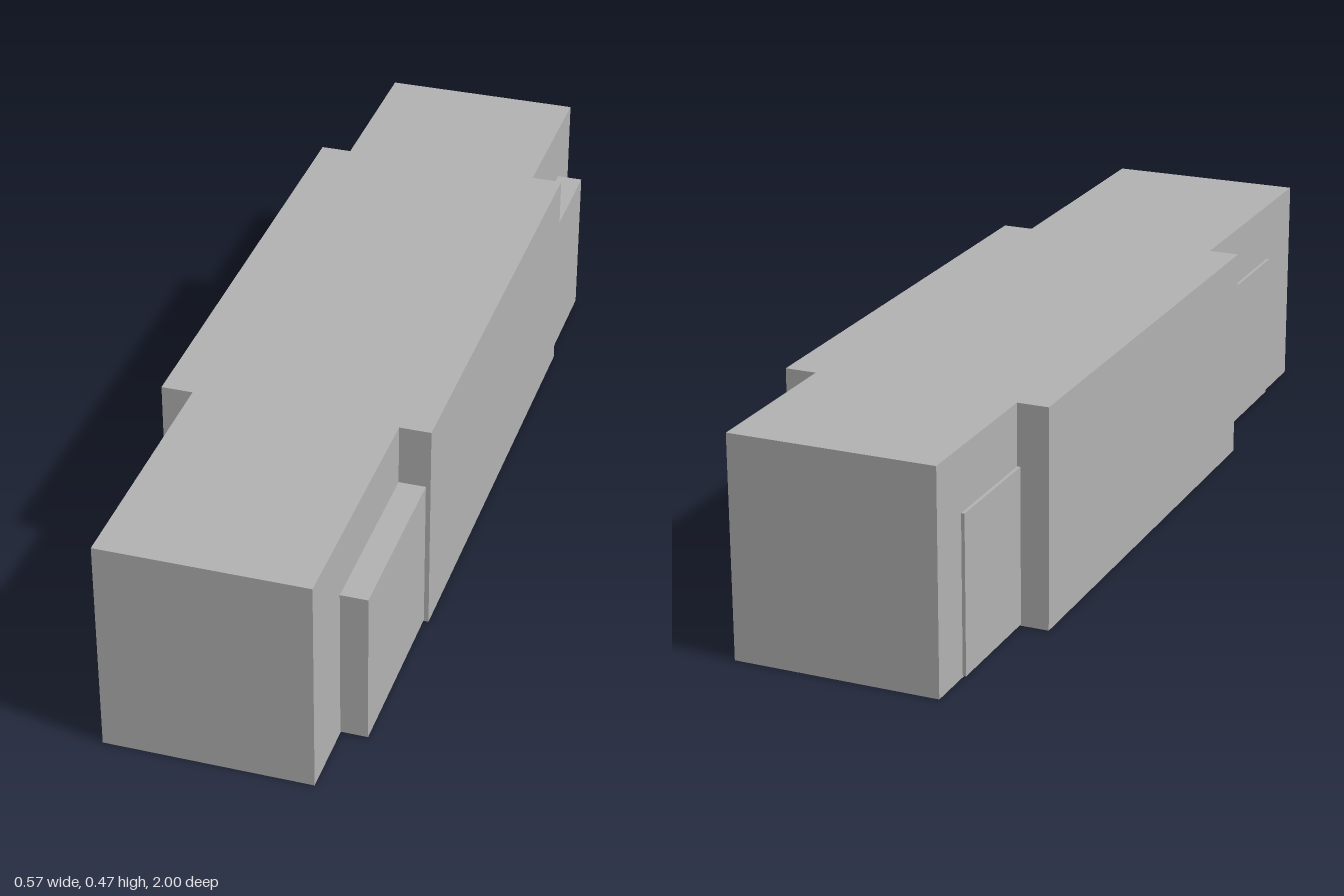
import * as THREE from 'three';

export function createModel() {
  const model = new THREE.Group();
  const grey = new THREE.MeshStandardMaterial({ color: 0xb2b2b2 });
  grey.name = 'plain grey';

  const height = 0.47, narrow = 0.218, wide = 0.285;
  const front = 0.44, back = -0.635; // ends of the wide middle section

  // Main block: cross-shaped plan extruded upwards (shape y becomes -z)
  const half = [[narrow, 1], [narrow, front], [wide, front], [wide, back], [narrow, back], [narrow, -1]];
  const plan = [...half, ...half.map(([x, z]) => [-x, z]).reverse()];
  const shape = new THREE.Shape(plan.map(([x, z]) => new THREE.Vector2(x, -z)));
  const bodyGeometry = new THREE.ExtrudeGeometry(shape, { depth: height, bevelEnabled: false });
  bodyGeometry.rotateX(-Math.PI / 2);
  const body = new THREE.Mesh(bodyGeometry, grey);
  body.name = 'mainBlock';
  model.add(body);

  // Lower side blocks, deep on the left (+x) and shallow on the right (-x)
  const bottom = 0.003, top = 0.338;
  function sideBlock(name, x0, x1, z0, z1) {
    const mesh = new THREE.Mesh(new THREE.BoxGeometry(x1 - x0, top - bottom, z1 - z0), grey);
    mesh.position.set((x0 + x1) / 2, (bottom + top) / 2, (z0 + z1) / 2);
    mesh.name = name;
    model.add(mesh);
  }
  for (const [end, z0, z1] of [['front', front, 0.835], ['back', -0.895, back]]) {
    sideBlock(end + 'LeftSideBlock', narrow, 0.275, z0, z1);
    sideBlock(end + 'RightSideBlock', -0.225, -narrow, z0, z1);
  }

  return model;
}
